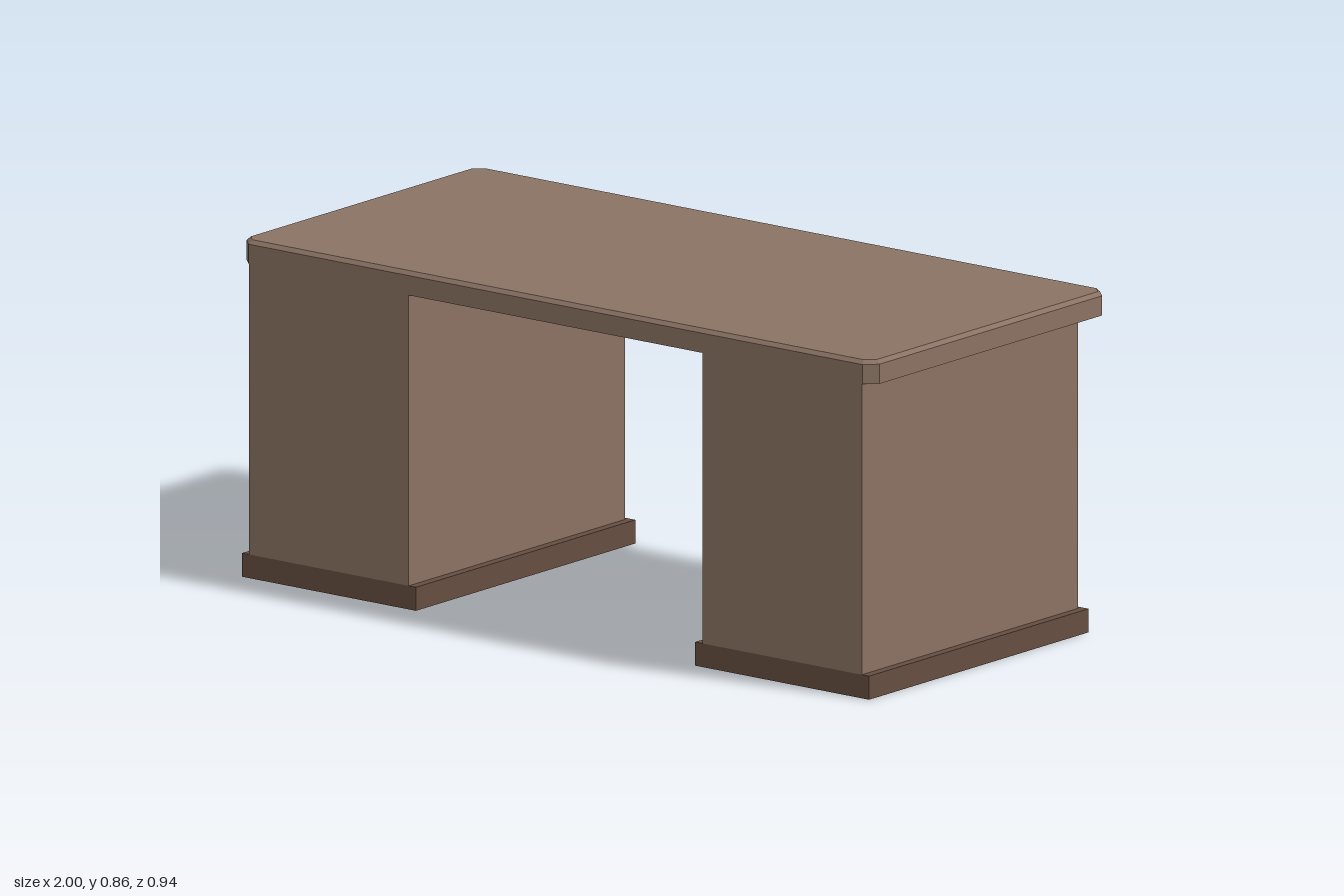
import * as THREE from 'three';

const wood = new THREE.MeshStandardMaterial({ color: 0x8a7263 });
const darkWood = new THREE.MeshStandardMaterial({ color: 0x654d3f });
const metal = new THREE.MeshStandardMaterial({ color: 0xcccccc });

// Rectangle outline with optional cut corners, counter-clockwise
function outline(w, h, cut) {
  const x = w / 2, y = h / 2, c = cut;
  if (!c) return [[x, -y], [x, y], [-x, y], [-x, -y]];
  return [[x, -y + c], [x, y - c], [x - c, y], [-x + c, y],
    [-x, y - c], [-x, -y + c], [-x + c, -y], [x - c, -y]];
}

// Slab along +z with a bevelled front rim, flat shaded
function bevelledSlab(w, h, depth, bevel, bevelDepth, cut = 0) {
  const outer = outline(w, h, cut);
  const inner = outline(w - 2 * bevel, h - 2 * bevel, cut && cut - 0.586 * bevel);
  const rings = [
    outer.map(([x, y]) => [x, y, 0]),
    outer.map(([x, y]) => [x, y, depth - bevelDepth]),
    inner.map(([x, y]) => [x, y, depth]),
  ];
  const n = outer.length, pos = [];
  const tri = (a, b, c) => pos.push(...a, ...b, ...c);
  for (let r = 0; r < 2; r++) {
    for (let i = 0; i < n; i++) {
      const j = (i + 1) % n, a = rings[r], b = rings[r + 1];
      tri(a[i], a[j], b[j]);
      tri(a[i], b[j], b[i]);
    }
  }
  for (let i = 1; i < n - 1; i++) {
    tri(rings[2][0], rings[2][i], rings[2][i + 1]);
    tri(rings[0][0], rings[0][i + 1], rings[0][i]);
  }
  const geo = new THREE.BufferGeometry();
  geo.setAttribute('position', new THREE.Float32BufferAttribute(pos, 3));
  geo.computeVertexNormals();
  return geo;
}

function add(parent, name, geo, mat, x = 0, y = 0, z = 0) {
  const mesh = new THREE.Mesh(geo, mat);
  mesh.name = name;
  mesh.position.set(x, y, z);
  parent.add(mesh);
  return mesh;
}

// Shaped back plate: flared ends and an arched middle
function plateGeometry() {
  const half = [[0.057, -0.018], [0.057, 0.018], [0.05, 0.018], [0.047, 0.006],
    [0.03, 0.006], [0.024, 0.014], [0.012, 0.02]];
  const low = [[0.025, -0.012], [0.047, -0.006], [0.05, -0.018]];
  const right = [...low, ...half];
  const pts = [...right, ...right.map(([x, y]) => [-x, y]).reverse()];
  const shape = new THREE.Shape(pts.map(([x, y]) => new THREE.Vector2(x, y)));
  return new THREE.ExtrudeGeometry(shape, { depth: 0.003, bevelEnabled: false });
}

// Hanging pull bar in front of the plate
function pullGeometry() {
  const curve = new THREE.CatmullRomCurve3([
    [-0.042, 0, 0.002], [-0.038, -0.012, 0.0055], [-0.02, -0.021, 0.0055],
    [0.02, -0.021, 0.0055], [0.038, -0.012, 0.0055], [0.042, 0, 0.002],
  ].map((p) => new THREE.Vector3(...p)));
  return new THREE.TubeGeometry(curve, 20, 0.0028, 6);
}

export function createModel() {
  const desk = new THREE.Group();
  desk.name = 'desk';

  // Desk top with cut corners and a bevelled upper edge
  const top = bevelledSlab(2, 0.94, 0.06, 0.01, 0.01, 0.03);
  top.rotateX(-Math.PI / 2);
  add(desk, 'deskTop', top, wood, 0, 0.8, 0);

  const drawerGeo = bevelledSlab(0.43, 0.156, 0.018, 0.012, 0.01);
  const plateGeo = plateGeometry();
  const pullGeo = pullGeometry();

  for (const side of [-1, 1]) {
    const pedestal = new THREE.Group();
    pedestal.name = side > 0 ? 'leftPedestal' : 'rightPedestal';
    pedestal.position.x = side * 0.716;
    desk.add(pedestal);

    add(pedestal, 'cabinet', new THREE.BoxGeometry(0.504, 0.74, 0.855), wood, 0, 0.43, 0.0425);
    add(pedestal, 'plinth', new THREE.BoxGeometry(0.55, 0.06, 0.868), darkWood, 0, 0.03, 0.036);

    // Four drawers facing the sitter at the back
    for (let i = 0; i < 4; i++) {
      const drawer = new THREE.Group();
      drawer.name = 'drawer' + (i + 1);
      drawer.position.set(0, 0.162 + i * 0.167, -0.385);
      drawer.rotation.y = Math.PI;
      pedestal.add(drawer);
      add(drawer, 'drawerFront', drawerGeo, darkWood);
      add(drawer, 'handlePlate', plateGeo, metal, 0, 0, 0.0175);
      add(drawer, 'handlePull', pullGeo, metal, 0, 0, 0.0175);
      for (const x of [-0.042, 0.042]) {
        add(drawer, 'handlePost', new THREE.SphereGeometry(0.0045, 10, 8), metal, x, 0, 0.0205);
      }
    }
  }
  return desk;
}
